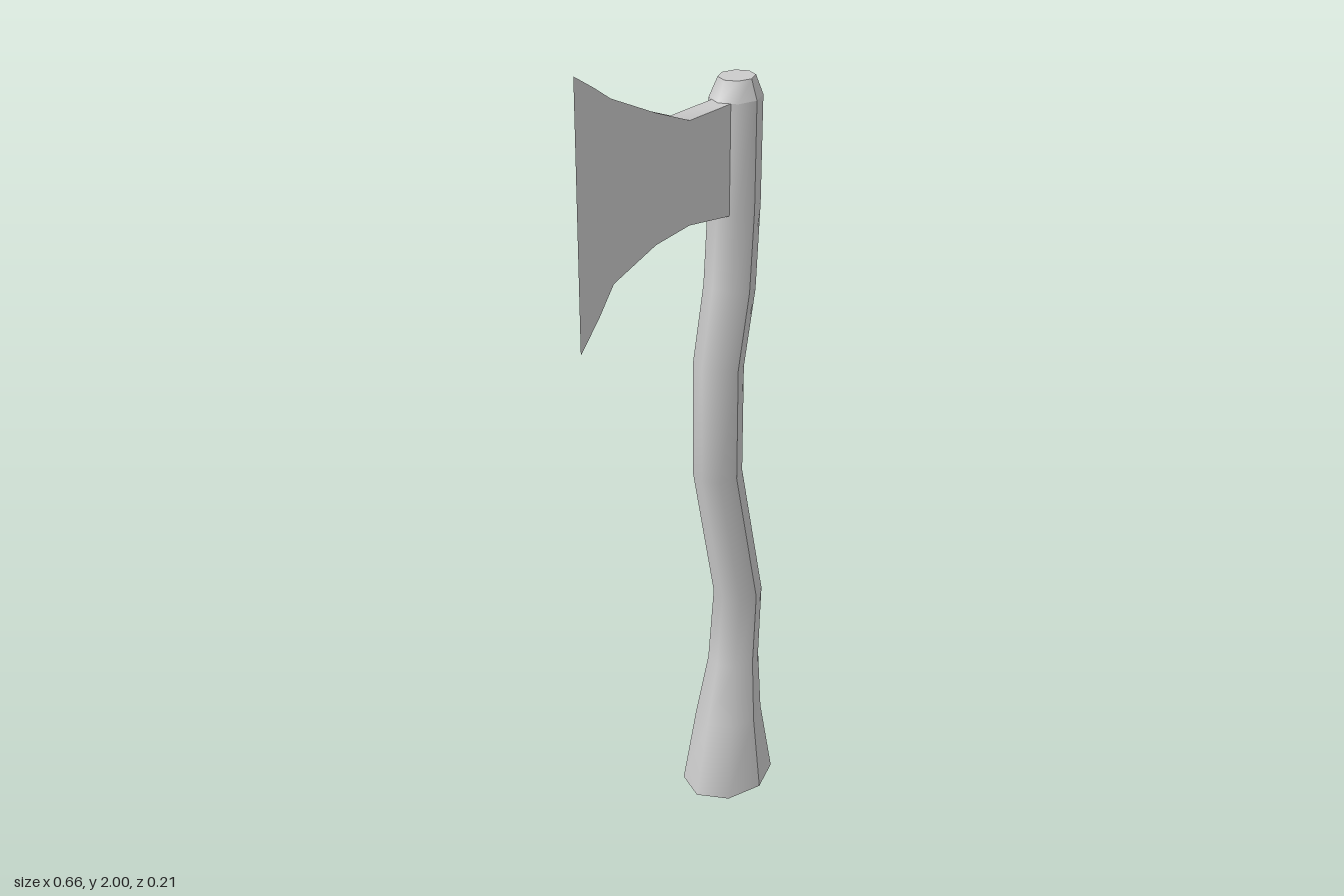
import * as THREE from 'three';
import { toCreasedNormals } from 'three/addons/utils/BufferGeometryUtils.js';

// Skin a list of rings, each a list of [x, y, z] points
function loft(rings) {
  const n = rings[0].length, index = [];
  for (let j = 0; j < rings.length - 1; j++) {
    for (let i = 0; i < n - 1; i++) {
      const a = j * n + i, c = a + n;
      index.push(a, c, a + 1, a + 1, c, c + 1);
    }
  }
  const g = new THREE.BufferGeometry();
  g.setAttribute('position', new THREE.Float32BufferAttribute(rings.flat(2), 3));
  g.setIndex(index);
  g.computeVertexNormals();
  return g;
}

// Handle sections: left y, right y, min x, max x, half depth
const SECTIONS = [
  [0, 0, 0.07, 0.33, 0.104],
  [0.2, 0.2, 0.113, 0.287, 0.081],
  [0.36, 0.36, 0.15, 0.285, 0.061],
  [0.55, 0.545, 0.168, 0.295, 0.058],
  [0.92, 0.92, 0.082, 0.205, 0.057],
  [1.215, 1.19, 0.08, 0.205, 0.057],
  [1.4, 1.37, 0.117, 0.245, 0.057],
  [1.58, 1.58, 0.13, 0.258, 0.057],
  [1.83, 1.83, 0.13, 0.26, 0.057],
  [1.875, 1.875, 0.152, 0.242, 0.04],
];

// Octagonal ring points from one corner to another
function ring([yl, yr, x0, x1, rz], from, to) {
  const pts = [];
  for (let k = from; k <= to; k++) {
    const c = Math.cos(k * Math.PI / 4), s = Math.sin(k * Math.PI / 4);
    pts.push([(x0 + x1) / 2 + c * (x1 - x0) / 2, (yl + yr) / 2 + c * (yr - yl) / 2, s * rz]);
  }
  return pts;
}

export function createModel() {
  const group = new THREE.Group();
  const material = new THREE.MeshStandardMaterial({ color: 0xcccccc });
  const add = (geometry, name, parent) => {
    const mesh = new THREE.Mesh(geometry, material);
    mesh.name = name;
    parent.add(mesh);
  };

  // Handle: two smooth halves meeting in a hard edge front and back
  const handle = new THREE.Group();
  handle.name = 'handle';
  group.add(handle);
  for (const [from, side] of [[-2, 'Left'], [2, 'Right']]) {
    const rings = SECTIONS.map((s) => ring(s, from, from + 4));
    add(loft(rings.slice(0, -1)), 'shaft' + side, handle);
    add(loft(rings.slice(-2)), 'bevel' + side, handle);
  }

  // Flat ends of the handle
  const cap = (section, up) => {
    const [y, , x0, x1, rz] = section;
    const pts = ring(section, 0, 8);
    const centre = pts.map(() => [(x0 + x1) / 2, y, 0]);
    return loft(up ? [pts, centre] : [centre, pts]);
  };
  add(cap(SECTIONS[0], false), 'buttEnd', handle);
  add(cap(SECTIONS[SECTIONS.length - 1], true), 'topEnd', handle);

  // Blade columns from cutting edge to socket: x, bottom y, top y, half thickness
  const columns = [
    [-0.334, 1.4, 2, 0],
    [-0.285, 1.47, 1.967, 0.01],
    [-0.24, 1.535, 1.935, 0.014],
    [-0.1, 1.578, 1.87, 0.014],
    [0, 1.595, 1.83, 0.026],
    [0.15, 1.572, 1.83, 0.026],
  ].map(([x, b, t, h]) => [[x, b, h], [x, t, h], [x, t, -h], [x, b, -h], [x, b, h]]);
  add(toCreasedNormals(loft(columns), 0.5), 'blade', group);

  return group;
}
